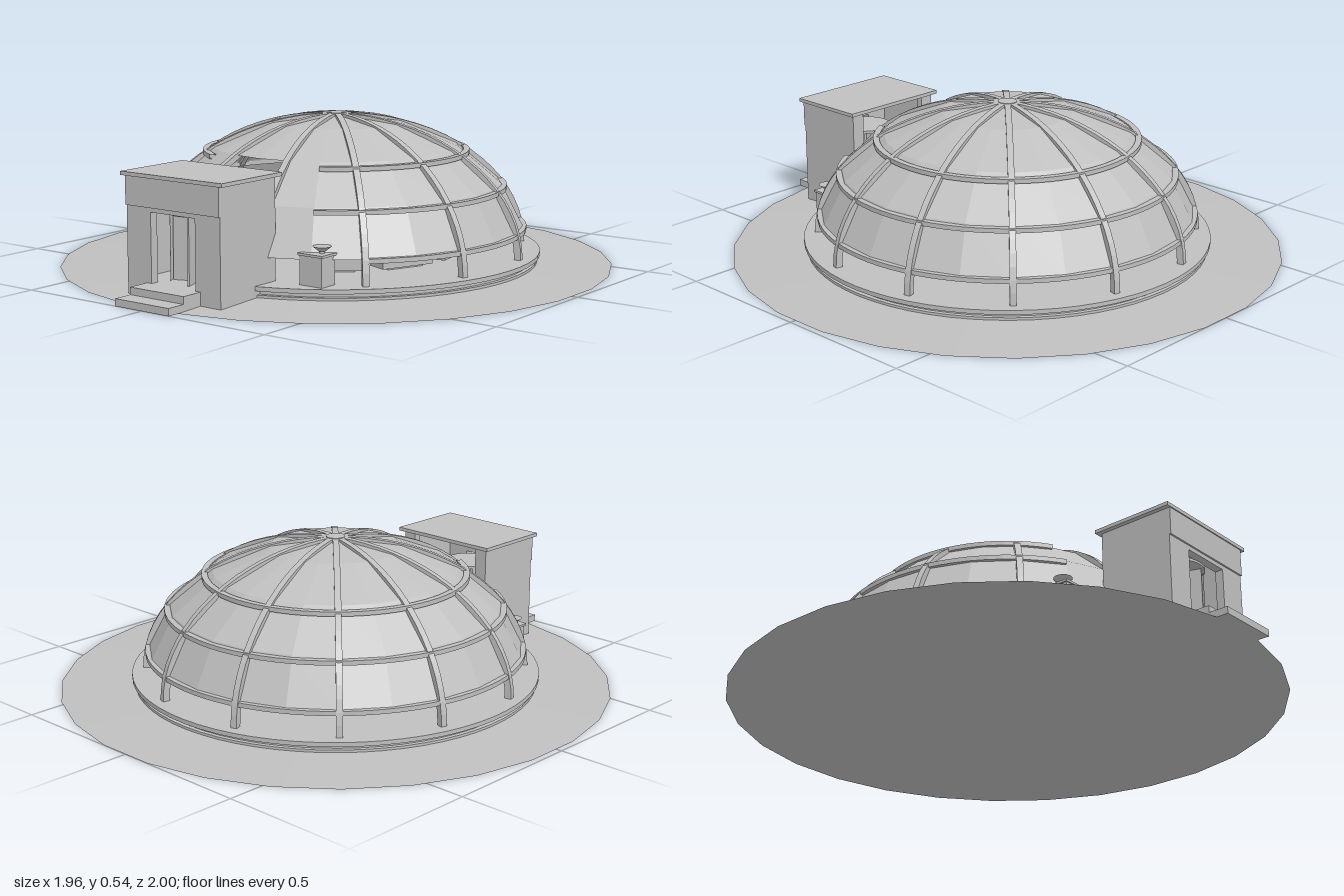
import * as THREE from 'three';

const grey = new THREE.MeshStandardMaterial({ color: 0xbfbfbf, side: THREE.DoubleSide });
grey.name = 'pale grey';
const rad = THREE.MathUtils.degToRad;

// Dome ellipse: radius, height and springing level
const A = 0.68, B = 0.48, BASE = 0.05;

function add(parent, name, geometry, x = 0, y = 0, z = 0) {
  const mesh = new THREE.Mesh(geometry, grey);
  mesh.name = name;
  mesh.position.set(x, y, z);
  parent.add(mesh);
  return mesh;
}

// Box given by its limits on each axis
function block(parent, name, x0, x1, y0, y1, z0, z1) {
  return add(parent, name, new THREE.BoxGeometry(x1 - x0, y1 - y0, z1 - z0),
    (x0 + x1) / 2, (y0 + y1) / 2, (z0 + z1) / 2);
}

// Faceted sweep about y; angles in degrees, zero at the front
function sweep(points, from, to, segments) {
  const g = new THREE.LatheGeometry(points.map(p => new THREE.Vector2(...p)), segments,
    rad(from), rad(to - from)).toNonIndexed();
  g.computeVertexNormals();
  return g;
}

function shellProfile(angles) {
  return angles.map(t => [A * Math.sin(rad(t)), BASE + B * Math.cos(rad(t))]);
}

function ribGeometry(width) {
  const s = new THREE.Shape();
  const steps = 18;
  for (let i = 0; i <= steps; i++) {
    const t = rad(90 * i / steps);
    const x = (A + 0.012) * Math.cos(t), y = BASE + (B + 0.004) * Math.sin(t);
    i ? s.lineTo(x, y) : s.moveTo(x, y);
  }
  for (let i = steps; i >= 0; i--) {
    const t = rad(90 * i / steps);
    s.lineTo((A - 0.012) * Math.cos(t), BASE + (B - 0.014) * Math.sin(t));
  }
  const g = new THREE.ExtrudeGeometry(s, { depth: width, bevelEnabled: false });
  return g.translate(0, 0, -width / 2);
}

function buildDome(parent) {
  const dome = new THREE.Group();
  dome.name = 'dome';
  dome.position.z = -0.02;
  parent.add(dome);

  // Gently sloping ground and stepped plinth
  const ground = add(dome, 'ground', new THREE.CylinderGeometry(0.7, 0.985, 0.012, 28), 0, 0.006);
  ground.rotation.y = Math.PI / 28;
  for (const [r, y0, y1] of [[0.72, 0.005, 0.02], [0.705, 0.02, 0.035], [0.73, 0.035, 0.05]]) {
    add(dome, 'plinthStep', new THREE.CylinderGeometry(r, r, y1 - y0, 64), 0, (y0 + y1) / 2);
  }

  // Shell: closed cap, lower panels left open at the entrance
  add(dome, 'shellCap', sweep(shellProfile([40, 20, 0]), 15, 375, 24));
  add(dome, 'shellPanels', sweep(shellProfile([80, 60, 40]), 15, 345, 22));

  // Meridian ribs and the crown that joins them
  const rib = ribGeometry(0.022);
  for (let i = 0; i < 12; i++) {
    add(dome, 'rib', rib).rotation.y = rad(15 + i * 30);
  }
  add(dome, 'crown', new THREE.CylinderGeometry(0.035, 0.035, 0.012, 12), 0, 0.529);

  // Horizontal hoops, broken around the entrance
  for (const [y, gap] of [[0.13, 45], [0.277, 30], [0.4, 30]]) {
    const r = A * Math.sqrt(1 - ((y - BASE) / B) ** 2);
    const a = r - 0.012, b = r + 0.01, h = 0.008;
    add(dome, 'hoop', sweep([[a, y - h], [b, y - h], [b, y + h], [a, y + h], [a, y - h]],
      gap, 360 - gap, 60));
  }

  // Interior seating around a central counter
  for (let i = 0; i < 10; i++) {
    const t = rad(36 + i * 32);
    const seat = add(dome, 'bench', new THREE.BoxGeometry(0.2, 0.05, 0.08),
      0.43 * Math.sin(t), 0.082, 0.43 * Math.cos(t));
    seat.rotation.y = t;
    const foot = add(dome, 'benchFoot', new THREE.BoxGeometry(0.14, 0.012, 0.05),
      0.43 * Math.sin(t), 0.055, 0.43 * Math.cos(t));
    foot.rotation.y = t;
  }
  add(dome, 'counter', new THREE.CylinderGeometry(0.12, 0.12, 0.055, 24), 0, 0.0775);
}

function buildPorch(parent) {
  const porch = new THREE.Group();
  porch.name = 'porch';
  parent.add(porch);

  // Front wall with its doorway
  const wall = new THREE.Shape();
  wall.moveTo(-0.2, 0).lineTo(-0.095, 0).lineTo(-0.095, 0.285).lineTo(0.095, 0.285)
    .lineTo(0.095, 0).lineTo(0.2, 0).lineTo(0.2, 0.397).lineTo(-0.2, 0.397);
  add(porch, 'frontWall', new THREE.ExtrudeGeometry(wall, { depth: 0.03, bevelEnabled: false }), 0, 0, 0.82);

  for (const s of [-1, 1]) {
    block(porch, 'sideWall', s * 0.19 - 0.01, s * 0.19 + 0.01, 0, 0.397, 0.575, 0.82);
    block(porch, 'rearPost', s * 0.165 - 0.015, s * 0.165 + 0.015, 0.05, 0.397, 0.575, 0.6);
  }
  block(porch, 'lintel', -0.2, 0.2, 0.3, 0.397, 0.85, 0.856);
  block(porch, 'roof', -0.217, 0.217, 0.397, 0.41, 0.56, 0.86);
  block(porch, 'floor', -0.18, 0.18, 0.005, 0.05, 0.575, 0.85);

  // Revolving door: two curved screens, crossed leaves and a top disc
  for (const start of [45, 225]) {
    add(porch, 'doorScreen', new THREE.CylinderGeometry(0.09, 0.09, 0.23, 12, 1, true,
      rad(start), rad(90)), 0, 0.165, 0.73);
  }
  for (const turn of [20, 110]) {
    add(porch, 'doorLeaf', new THREE.BoxGeometry(0.17, 0.225, 0.006), 0, 0.1625, 0.73).rotation.y = rad(turn);
  }
  add(porch, 'doorTop', new THREE.CylinderGeometry(0.095, 0.095, 0.01, 24), 0, 0.282, 0.73);

  // Entrance steps
  block(porch, 'upperStep', -0.115, 0.115, 0.005, 0.05, 0.85, 0.93);
  block(porch, 'lowerStep', -0.115, 0.115, 0, 0.025, 0.85, 1);
}

// Pedestals with bowls on either side of the entrance
function buildPedestals(parent) {
  for (const s of [-1, 1]) {
    const stand = new THREE.Group();
    stand.name = 'pedestal';
    stand.position.set(s * 0.345, 0, 0.54);
    parent.add(stand);
    block(stand, 'pedestalBox', -0.045, 0.045, 0.05, 0.15, -0.035, 0.035);
    block(stand, 'pedestalTop', -0.05, 0.05, 0.148, 0.156, -0.04, 0.04);
    add(stand, 'bowlStem', new THREE.CylinderGeometry(0.008, 0.008, 0.012, 8), s * 0.02, 0.16, 0);
    add(stand, 'bowl', new THREE.CylinderGeometry(0.032, 0.012, 0.016, 12), s * 0.02, 0.172, 0);
  }
}

export function createModel() {
  const model = new THREE.Group();
  model.name = 'domedPavilion';
  buildDome(model);
  buildPorch(model);
  buildPedestals(model);
  return model;
}
